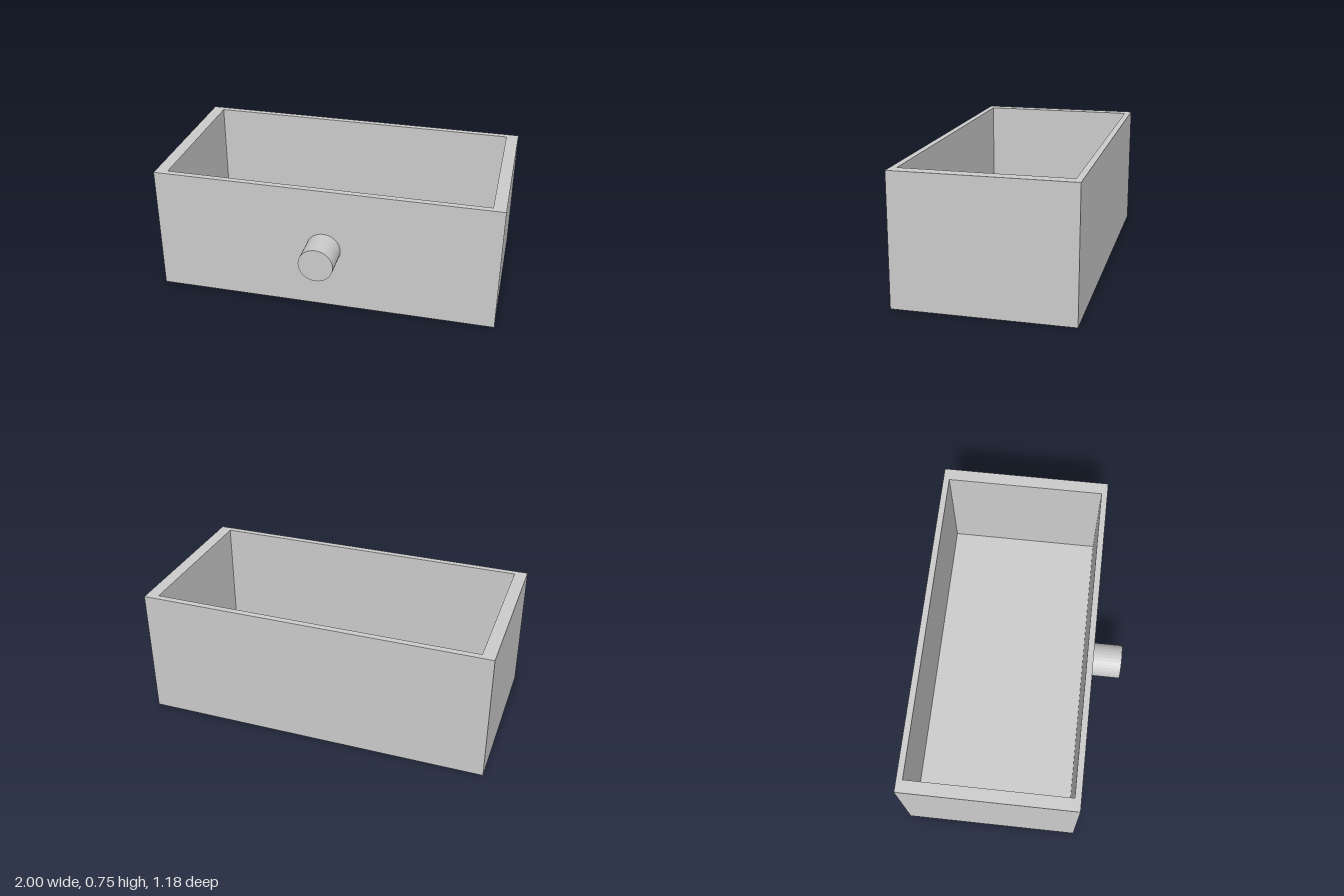
import * as THREE from 'three';

const WIDTH = 2, HEIGHT = 0.75, DEPTH = 1;
const SIDE_WALL = 0.072, END_WALL = 0.036, FLOOR = 0.05;
const CENTRE_Z = -0.09;

// Adds a closed rectangle, centred on the origin, to a shape or path
function rectangle(path, w, d) {
  path.moveTo(-w / 2, -d / 2);
  path.lineTo(w / 2, -d / 2);
  path.lineTo(w / 2, d / 2);
  path.lineTo(-w / 2, d / 2);
  path.closePath();
  return path;
}

export function createModel() {
  const group = new THREE.Group();
  group.name = 'drawer';
  const material = new THREE.MeshStandardMaterial({ color: 0xcccccc, flatShading: true });

  function add(name, geometry, x, y, z) {
    const mesh = new THREE.Mesh(geometry, material);
    mesh.name = name;
    mesh.position.set(x, y, z);
    group.add(mesh);
  }

  // Four walls: a rectangular ring, raised to full height
  const innerW = WIDTH - 2 * SIDE_WALL, innerD = DEPTH - 2 * END_WALL;
  const ring = rectangle(new THREE.Shape(), WIDTH, DEPTH);
  ring.holes.push(rectangle(new THREE.Path(), innerW, innerD));
  const walls = new THREE.ExtrudeGeometry(ring, { depth: HEIGHT, bevelEnabled: false });
  walls.rotateX(-Math.PI / 2);
  add('walls', walls, 0, 0, CENTRE_Z);

  // Floor panel fitted between the walls
  add('floor', new THREE.BoxGeometry(innerW, FLOOR, innerD), 0, FLOOR / 2, CENTRE_Z);

  // Round pull knob on the front
  const knob = new THREE.CylinderGeometry(0.1, 0.1, 0.18, 32);
  knob.rotateX(Math.PI / 2);
  add('knob', knob, 0, 0.377, 0.5);

  return group;
}
